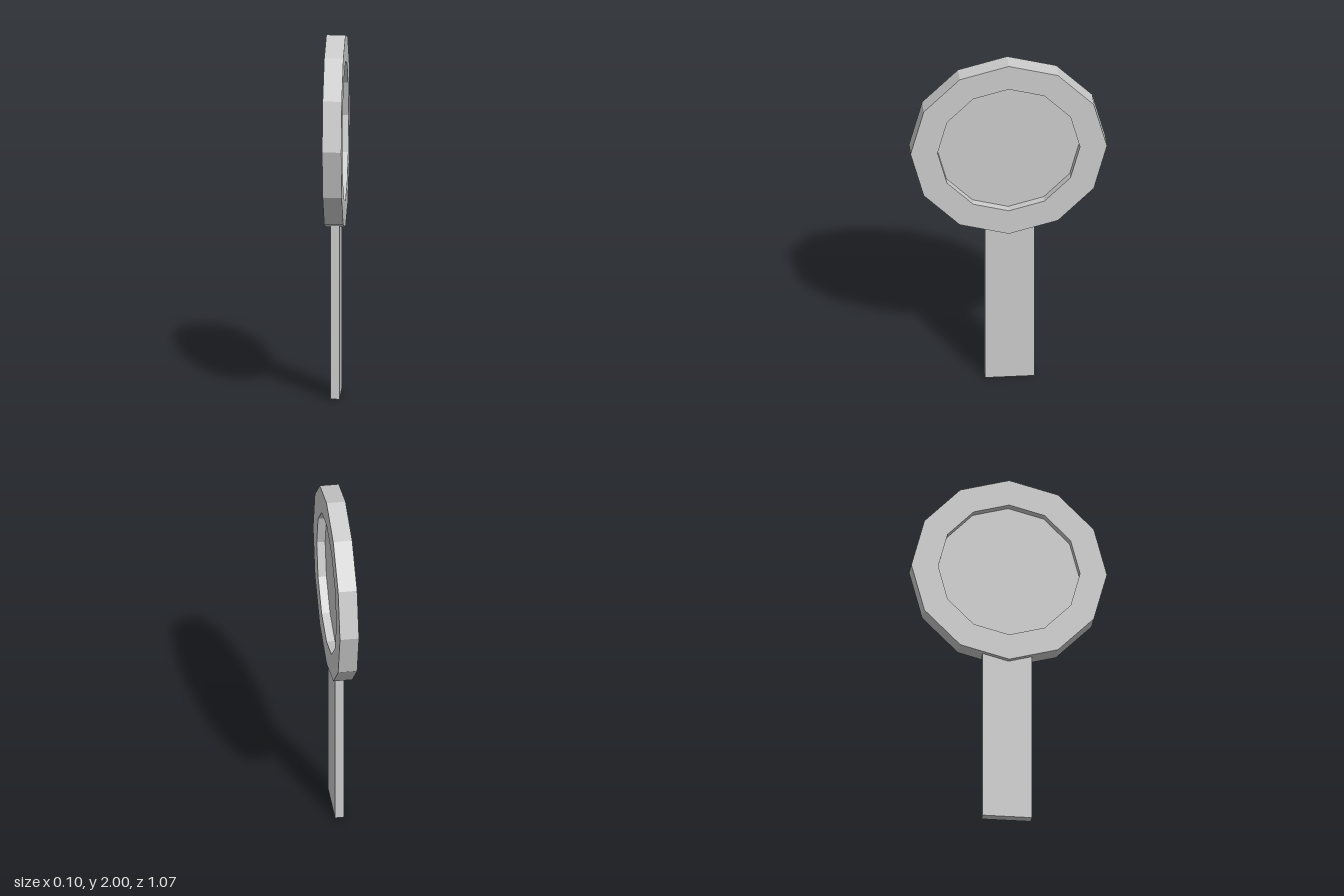
import * as THREE from 'three';

const SIDES = 12;
const CENTER_Y = 1.465;

// Regular polygon points with a corner pointing straight up
function polygon(radius) {
  return Array.from({ length: SIDES }, (_, i) => {
    const a = Math.PI / 2 + (i / SIDES) * Math.PI * 2;
    return new THREE.Vector2(Math.cos(a) * radius, Math.sin(a) * radius);
  });
}

// Extrudes a shape along x, centred on x = 0, at the head's height
function slab(shape, thickness) {
  const geometry = new THREE.ExtrudeGeometry(shape, { depth: thickness, bevelEnabled: false });
  geometry.translate(0, 0, -thickness / 2);
  geometry.rotateY(Math.PI / 2);
  geometry.translate(0, CENTER_Y, 0);
  return geometry;
}

export function createModel() {
  const model = new THREE.Group();
  model.name = 'handMirror';
  const material = new THREE.MeshStandardMaterial({ color: 0xcccccc, flatShading: true });

  const add = (name, geometry) => {
    const mesh = new THREE.Mesh(geometry, material);
    mesh.name = name;
    model.add(mesh);
  };

  // Twelve-sided frame with an open middle
  const frame = new THREE.Shape(polygon(0.535));
  frame.holes.push(new THREE.Path(polygon(0.388)));
  add('frame', slab(frame, 0.104));

  // Thin panel recessed on both sides of the frame
  add('panel', slab(new THREE.Shape(polygon(0.388)), 0.012));

  // Flat handle, its top end buried in the frame
  const handle = new THREE.BoxGeometry(0.05, 1.0, 0.27);
  handle.translate(0, 0.5, -0.007);
  add('handle', handle);

  return model;
}
